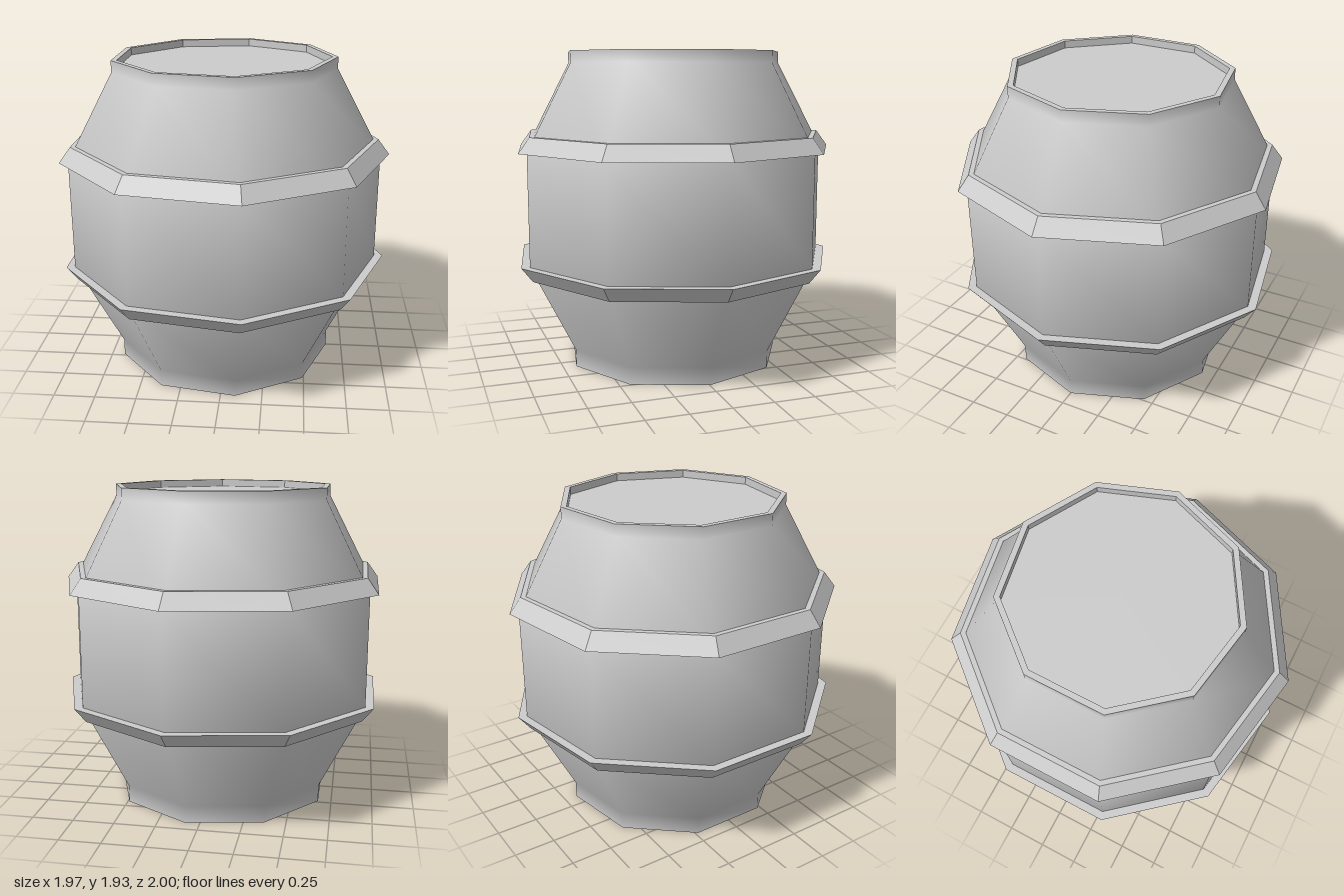
import * as THREE from 'three';

const SIDES = 9;
const HEIGHT = 1.93;
const RIM = 0.68;        // outer radius at both ends
const RIM_INNER = 0.645;
const RECESS = 0.045;    // depth of the heads below the rims

const smooth = new THREE.MeshStandardMaterial({ color: 0xcccccc });
const flat = new THREE.MeshStandardMaterial({ color: 0xcccccc, flatShading: true });

// Nine-sided turned part with a corner on +x; profile is [radius, y] pairs
function turned(name, profile, material) {
  const points = profile.map(([r, y]) => new THREE.Vector2(r, y));
  const mesh = new THREE.Mesh(new THREE.LatheGeometry(points, SIDES, Math.PI / 2), material);
  mesh.name = name;
  return mesh;
}

// Flat disc closing one end of the barrel
function head(name, y, facing) {
  const geometry = new THREE.CircleGeometry(RIM_INNER, SIDES);
  geometry.rotateX(-facing * Math.PI / 2);
  const mesh = new THREE.Mesh(geometry, flat);
  mesh.position.y = y;
  mesh.name = name;
  return mesh;
}

export function createModel() {
  const barrel = new THREE.Group();
  barrel.name = 'barrel';

  // Bulging staves
  barrel.add(turned('staves', [
    [RIM, 0], [RIM, 0.105], [0.962, 0.66], [0.962, 1.34], [RIM, 1.86], [RIM, HEIGHT],
  ], smooth));

  // Bevelled hoops, widest on the side facing the middle
  barrel.add(turned('upperHoop', [
    [0.95, 1.337], [1.0154, 1.337], [0.945, 1.43], [0.91, 1.43],
  ], flat));
  barrel.add(turned('lowerHoop', [
    [0.91, 0.57], [0.945, 0.57], [1.0154, 0.66], [0.95, 0.66],
  ], flat));

  // Rims and recessed heads
  barrel.add(turned('topRim', [
    [RIM, HEIGHT], [RIM_INNER, HEIGHT], [RIM_INNER, HEIGHT - RECESS],
  ], flat));
  barrel.add(turned('bottomRim', [
    [RIM_INNER, RECESS], [RIM_INNER, 0], [RIM, 0],
  ], flat));
  barrel.add(head('topHead', HEIGHT - RECESS, 1));
  barrel.add(head('bottomHead', RECESS, -1));

  // An odd-sided polygon is off-centre, so shift it to centre its bounds
  barrel.position.x = -0.0306;

  const model = new THREE.Group();
  model.add(barrel);
  return model;
}
